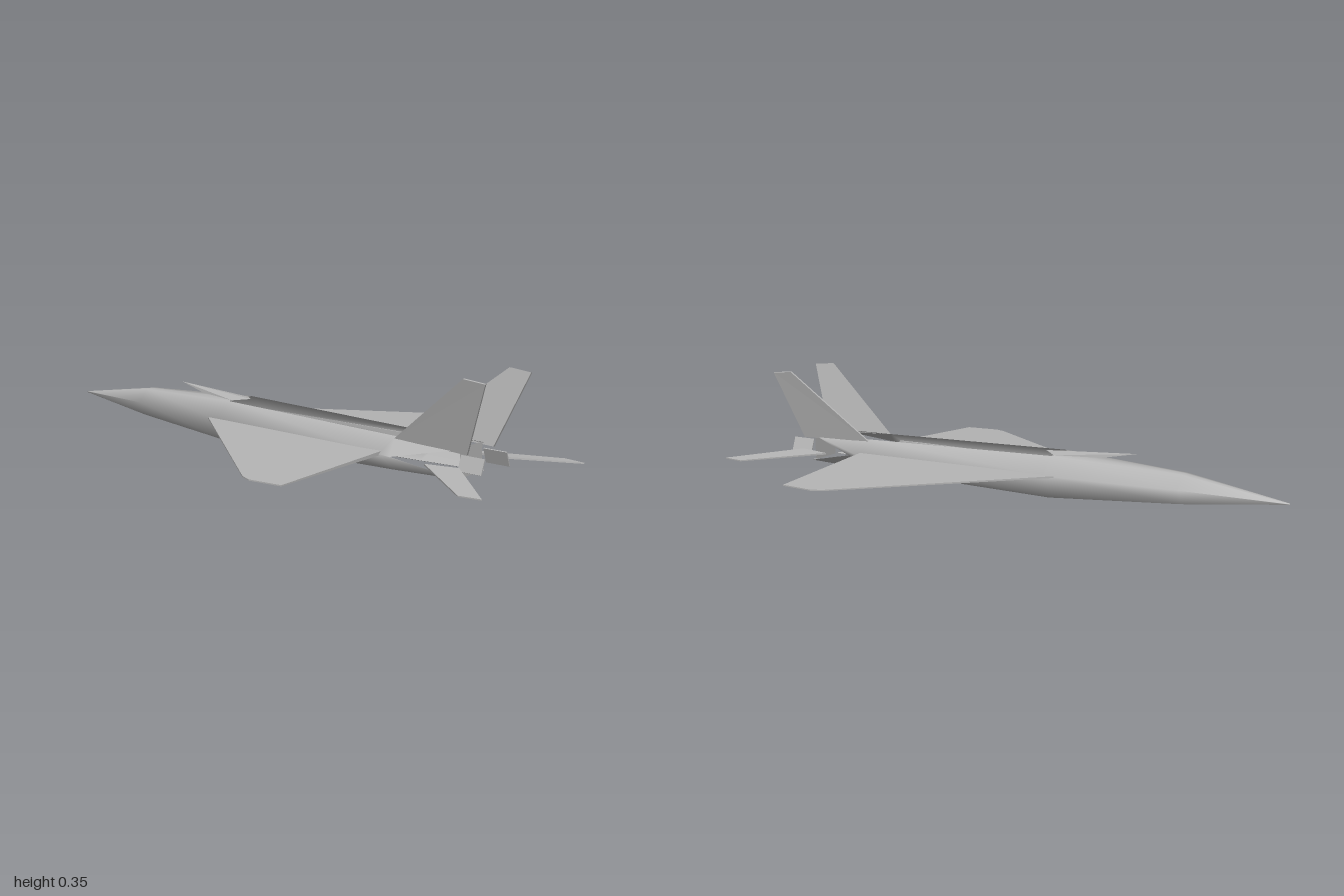
import * as THREE from 'three';

const grey = new THREE.MeshStandardMaterial({ color: 0xb4b4b4, side: THREE.DoubleSide });
grey.name = 'airframe grey';

function mesh(name, positions, index) {
  const g = new THREE.BufferGeometry();
  g.setAttribute('position', new THREE.Float32BufferAttribute(positions, 3));
  if (index) g.setIndex(index);
  g.computeVertexNormals();
  const m = new THREE.Mesh(g, grey);
  m.name = name;
  return m;
}

// Thin solid: outline of [x, y, z, halfThickness], mirrored in x when side is -1
function plate(name, outline, side = 1) {
  const pts = outline.map(([x, y, z]) => new THREE.Vector3(x * side, y, z));
  const n = pts[1].clone().sub(pts[0]).cross(pts[2].clone().sub(pts[0])).normalize();
  const top = pts.map((p, i) => p.clone().addScaledVector(n, outline[i][3]));
  const low = pts.map((p, i) => p.clone().addScaledVector(n, -outline[i][3]));
  const out = [];
  const tri = (...v) => v.forEach((p) => out.push(p.x, p.y, p.z));
  for (let i = 1; i < pts.length - 1; i++) {
    tri(top[0], top[i], top[i + 1]);
    tri(low[0], low[i + 1], low[i]);
  }
  pts.forEach((_, i) => {
    const j = (i + 1) % pts.length;
    tri(low[i], low[j], top[j]);
    tri(low[i], top[j], top[i]);
  });
  return mesh(name, out);
}

// Fuselage shell: closed nose that splits into two open-sided booms
function fuselage() {
  // half sections from top centre round to bottom centre: [x, y, z]
  const at = (z, ...p) => p.map(([x, y, dz = 0]) => [x, y, z + dz]);
  const sections = [
    at(-1, [0, 0.062], [0.001, 0.062], [0.002, 0.06], [0.001, 0.058], [0.0005, 0.058], [0, 0.058]),
    at(-0.65, [0, 0.12], [0.022, 0.118], [0.056, 0.074], [0.033, 0.025], [0.025, 0.028], [0, 0.034]),
    at(-0.2, [0, 0.141], [0.058, 0.14], [0.122, 0.085], [0.075, 0.003], [0.06, 0.008], [0, 0.025]),
    at(0.52, [0, 0.13], [0.06, 0.126], [0.145, 0.083], [0.075, 0.021], [0.06, 0.026], [0, 0.03]),
    at(0.77, [0, 0.125], [0.064, 0.122], [0.143, 0.08, -0.21], [0.072, 0.03], [0.062, 0.033], [0, 0.035]),
  ];
  const rings = sections.map((s) => [...s, ...s.slice(1, 5).reverse().map(([x, y, z]) => [-x, y, z])]);
  const n = rings[0].length;
  const index = [];
  for (let i = 0; i < rings.length - 1; i++) {
    for (let j = 0; j < n; j++) {
      if (i >= 2 && [0, 4, 5, 9].includes(j)) continue; // slot between the booms
      const a = i * n + j, b = i * n + ((j + 1) % n);
      index.push(a, a + n, b, b, a + n, b + n);
    }
  }
  return mesh('fuselage', rings.flat(2), index);
}

export function createModel() {
  const model = new THREE.Group();
  model.name = 'jet';
  model.add(fuselage());

  // Canopy: raised ridge with a pointed front and tail
  const ridge = [0, 0.165, -0.485], tail = [0, 0.145, -0.15];
  const canopy = [];
  for (const s of [1, -1]) {
    const front = [0.02 * s, 0.143, -0.36], back = [0.042 * s, 0.14, -0.2];
    const faces = [[ridge, back, front], [ridge, tail, back]];
    faces.forEach(([a, b, c]) => canopy.push(...a, ...(s > 0 ? [...b, ...c] : [...c, ...b])));
  }
  model.add(mesh('canopy', canopy));

  // Bulkhead closing the rear of the slot
  const bulkhead = new THREE.Mesh(new THREE.PlaneGeometry(0.12, 0.095), grey);
  bulkhead.name = 'rearBulkhead';
  bulkhead.position.set(0, 0.0775, 0.765);
  model.add(bulkhead);

  for (const [side, label] of [[1, 'left'], [-1, 'right']]) {
    model.add(plate(label + 'Wing', [
      [0.12, 0.085, -0.24, 0.003], [0.12, 0.085, 0.52, 0.006], [0.583, 0.066, 0.503, 0.002],
      [0.595, 0.0655, 0.385, 0.002], [0.578, 0.066, 0.345, 0.002],
    ], side));
    model.add(plate(label + 'Fin', [
      [0.07, 0.122, 0.525, 0.003], [0.072, 0.112, 0.8, 0.004],
      [0.125, 0.348, 0.893, 0.003], [0.126, 0.355, 0.815, 0.003],
    ], side));
    model.add(plate(label + 'Tailplane', [
      [0.12, 0.07, 0.675, 0.003], [0.1, 0.072, 0.79, 0.003],
      [0.285, 0.051, 0.995, 0.002], [0.296, 0.051, 0.92, 0.002],
    ], side));
    // Nozzle side plate
    model.add(plate(label + 'NozzlePlate', [
      [0.06, 0.105, 0.77, 0.002], [0.06, 0.105, 0.855, 0.002],
      [0.078, 0.057, 0.855, 0.002], [0.078, 0.057, 0.77, 0.002],
    ], side));
  }
  return model;
}
